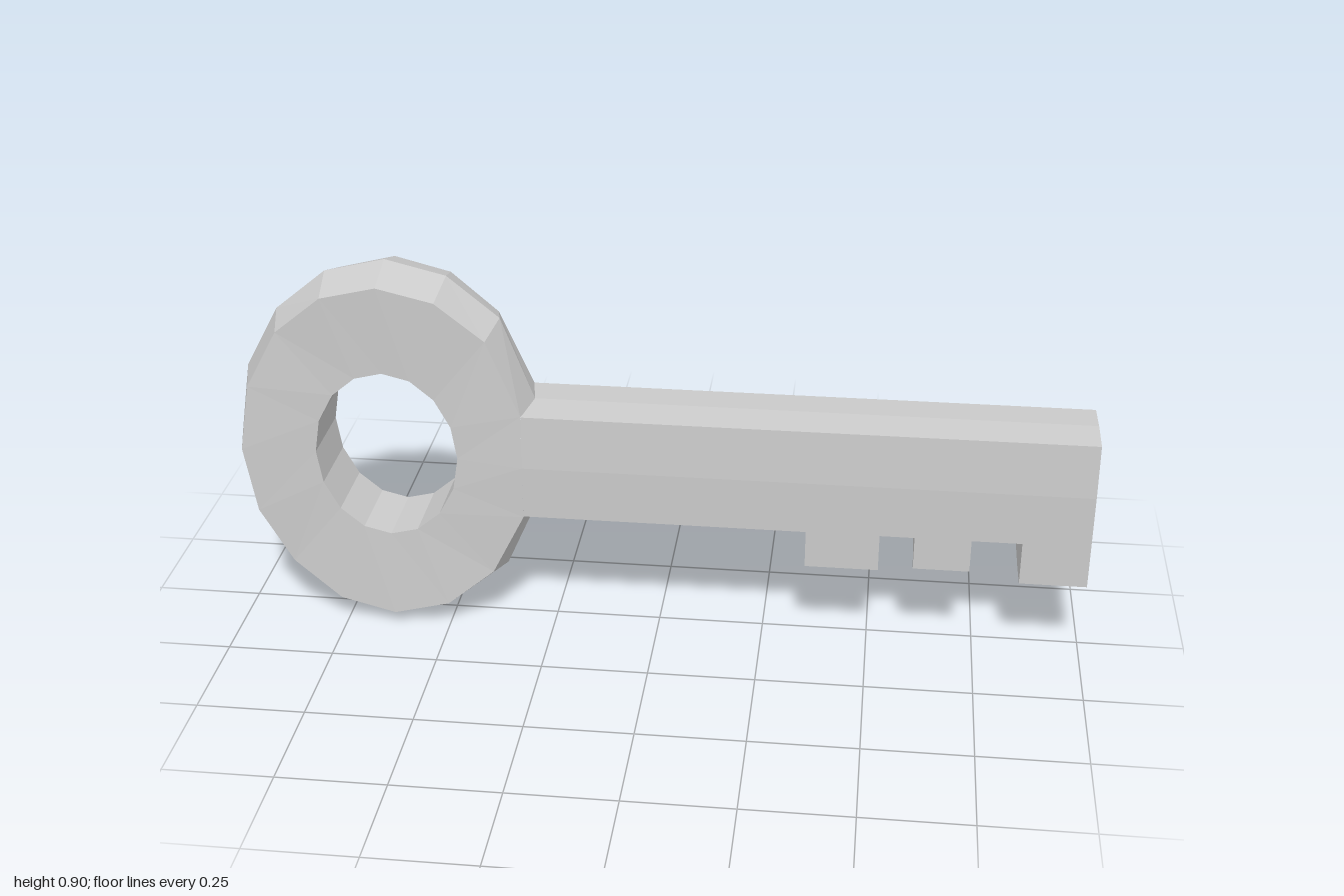
import * as THREE from 'three';

const material = new THREE.MeshStandardMaterial({ color: 0xcccccc, flatShading: true });
const MID = 0.44; // height of the shaft's centre line

// Oval bow: a ridged cross-section carried round 16 steps
function bowGeometry() {
  const N = 16, cx = -0.63, cy = 0.4525;
  const sections = [];
  for (let i = 0; i < N; i++) {
    const a = (i / N) * Math.PI * 2, c = Math.cos(a), s = Math.sin(a);
    let edge = [cx + 0.343 * c, cy + 0.421 * s];
    let ridge = [cx + 0.37 * c, cy + 0.4525 * s];
    let z = 0.09 + 0.01 * Math.abs(Math.cos(2 * a));
    // the three sections on the right flow into the shaft
    if (i === 0) { edge = [-0.31, MID]; ridge = [-0.29, MID]; z = 0.1; }
    if (i === 1 || i === N - 1) {
      const y = i === 1 ? 0.57 : 0.31;
      edge = [-0.31, y]; ridge = [-0.29, y]; z = 0.096;
    }
    const hole = [cx + 0.168 * c, cy + 0.208 * s];
    sections.push([[...hole, 0.092], [...edge, z], [...ridge, 0], [...edge, -z], [...hole, -0.092]]);
  }
  const pos = [];
  for (let i = 0; i < N; i++) {
    const A = sections[i], B = sections[(i + 1) % N];
    for (let k = 0; k < 5; k++) {
      if ((i === 0 || i === N - 1) && (k === 1 || k === 2)) continue; // open into the shaft
      const n = (k + 1) % 5;
      pos.push(...A[k], ...A[n], ...B[n], ...A[k], ...B[n], ...B[k]);
    }
  }
  const g = new THREE.BufferGeometry();
  g.setAttribute('position', new THREE.Float32BufferAttribute(pos, 3));
  g.computeVertexNormals();
  return g;
}

// Extrude an outline, then thin it away from the centre line and crown its edges
function shaftGeometry(points) {
  const shape = new THREE.Shape(points.map(p => new THREE.Vector2(...p)));
  const src = new THREE.ExtrudeGeometry(shape, { depth: 2, steps: 2, bevelEnabled: false }).toNonIndexed();
  src.translate(0, 0, -1);
  const p = src.attributes.position, out = [];
  for (let t = 0; t < p.count; t += 3) {
    const tri = [0, 1, 2].map(k => [p.getX(t + k), p.getY(t + k), p.getZ(t + k)]);
    // leave out the hidden seam and the end inside the bow
    if (tri.every(v => Math.abs(v[1] - MID) < 1e-4) || tri.every(v => v[0] < -0.3)) continue;
    for (const [x, y, z] of tri) {
      const d = y - MID;
      const crown = Math.abs(z) < 0.01 && Math.abs(d) > 0.01 ? 0.005 * Math.sign(d) : 0;
      out.push(x, y + crown, z * (0.1 - 0.033 * Math.abs(d)));
    }
  }
  const g = new THREE.BufferGeometry();
  g.setAttribute('position', new THREE.Float32BufferAttribute(out, 3));
  g.computeVertexNormals();
  return g;
}

export function createModel() {
  const key = new THREE.Group();
  key.name = 'key';
  const add = (name, geometry, parent) => {
    const mesh = new THREE.Mesh(geometry, material);
    mesh.name = name;
    parent.add(mesh);
  };
  add('bow', bowGeometry(), key);

  const shaft = new THREE.Group();
  shaft.name = 'shaft';
  key.add(shaft);
  const x0 = -0.31, x1 = 1, base = 0.312;
  add('upperShaft', shaftGeometry([[x0, MID], [x1, MID], [x1, 0.569], [x0, 0.569]]), shaft);

  // lower half with its teeth: left, right, bottom
  const outline = [[x0, MID], [x0, base]];
  for (const [l, r, b] of [[0.35, 0.52, 0.22], [0.6, 0.73, 0.23], [0.845, x1, 0.206]]) {
    outline.push([l, base], [l, b], [r, b]);
    if (r < x1) outline.push([r, base]);
  }
  outline.push([x1, MID]);
  add('lowerShaftWithTeeth', shaftGeometry(outline), shaft);
  return key;
}
